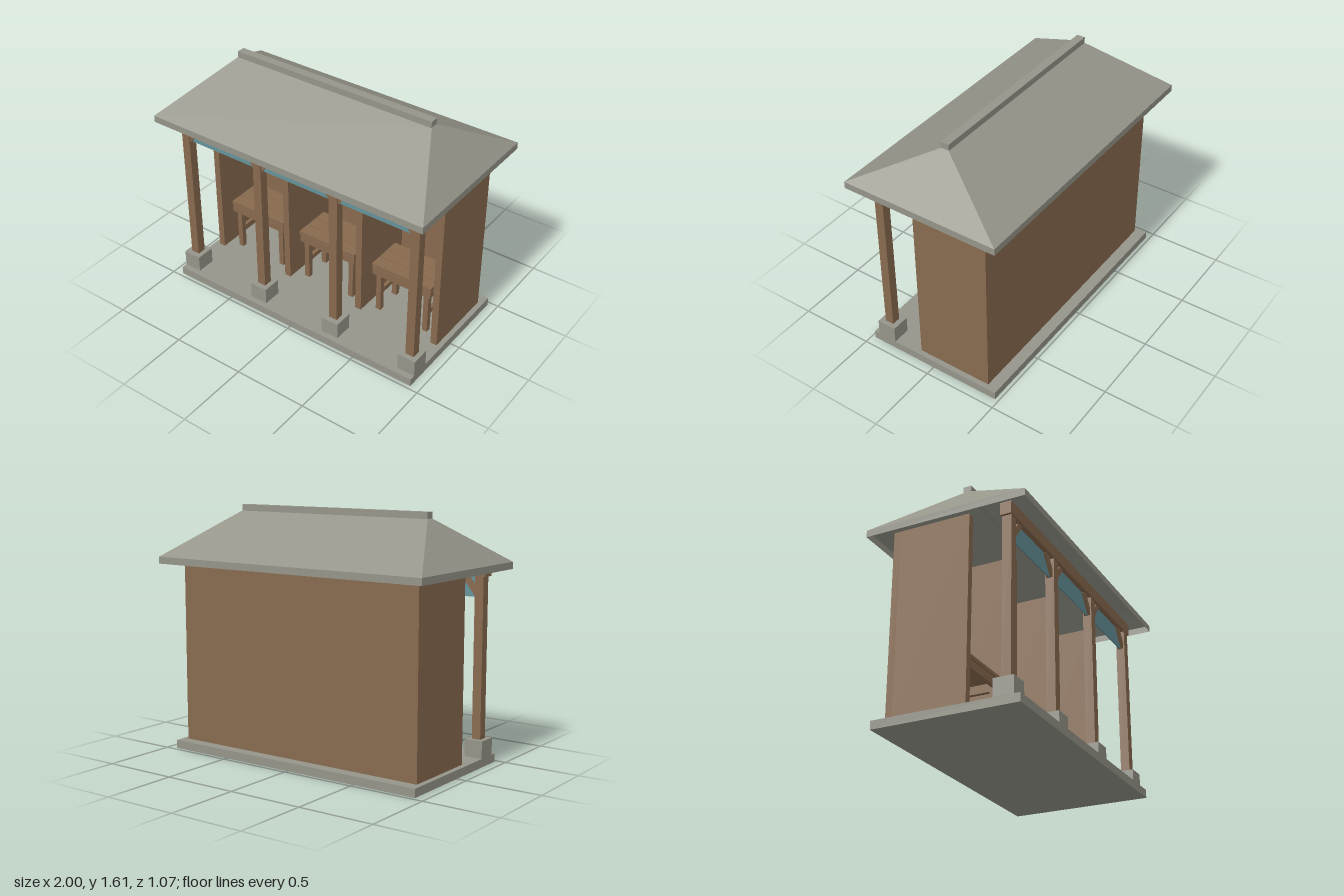
import * as THREE from 'three';

const mat = (name, color) => {
  const m = new THREE.MeshStandardMaterial({ color });
  m.name = name;
  return m;
};

export function createModel() {
  const model = new THREE.Group();
  model.name = 'shelter';
  const wood = mat('brown wood', 0x886a4e);
  const stone = mat('grey stone', 0x95958a);
  const roofStone = mat('grey roof', 0x95958a);
  roofStone.side = THREE.DoubleSide;
  const glass = mat('blue glass', 0x65929b);

  // Box given by its limits on each axis
  const box = (parent, name, material, [x0, x1], [y0, y1], [z0, z1]) => {
    const mesh = new THREE.Mesh(new THREE.BoxGeometry(x1 - x0, y1 - y0, z1 - z0), material);
    mesh.position.set((x0 + x1) / 2, (y0 + y1) / 2, (z0 + z1) / 2);
    mesh.name = name;
    parent.add(mesh);
    return mesh;
  };
  const around = (c, half) => [c - half, c + half];

  // Floor slab and back wall
  const floor = 0.055, eave = 1.28;
  box(model, 'floorSlab', stone, [-0.935, 0.935], [0, floor], [-0.475, 0.475]);
  box(model, 'backWall', wood, [-0.9, 0.9], [floor, eave], [-0.4, -0.355]);

  // Side walls and partitions
  for (const x of [-0.8775, -0.292, 0.292, 0.8775])
    box(model, 'partition', wood, around(x, 0.0225), [floor, eave], [-0.355, 0.12]);

  // Front posts on stone footings, carrying a beam
  const postX = [-0.873, -0.291, 0.291, 0.873];
  for (const x of postX) {
    box(model, 'footing', stone, around(x, 0.062), [floor, 0.167], [0.305, 0.435]);
    box(model, 'post', wood, around(x, 0.03), [0.167, 1.2], [0.34, 0.4]);
  }
  box(model, 'beam', wood, [-0.92, 0.92], [1.198, eave], [0.333, 0.407]);

  // Glass panel and two corner braces in each bay
  for (let i = 0; i < 3; i++) {
    const left = postX[i] + 0.03, right = postX[i + 1] - 0.03;
    box(model, 'glassPanel', glass, [left, right], [1.065, 1.198], around(0.37, 0.004));
    for (const [x, s] of [[left, 1], [right, -1]]) {
      const brace = box(model, 'brace', wood, around(x + s * 0.034, 0.078),
        around(1.141, 0.019), around(0.37, 0.02));
      brace.rotation.z = s * 0.92;
    }
  }

  // Tables: slatted top, apron, four legs and side stretchers
  for (const x of [-0.583, 0, 0.583]) {
    const table = new THREE.Group();
    table.name = 'table';
    table.position.set(x, 0, -0.065);
    for (const z of [-0.091, 0, 0.091])
      box(table, 'slat', wood, [-0.222, 0.222], [0.411, 0.434], around(z, 0.043));
    for (const s of [-1, 1]) {
      box(table, 'apron', wood, [-0.219, 0.219], [0.35, 0.405], around(s * 0.117, 0.013));
      box(table, 'sideApron', wood, around(s * 0.206, 0.013), [0.35, 0.405], [-0.104, 0.104]);
      box(table, 'stretcher', wood, around(s * 0.18, 0.012), [0.18, 0.215], [-0.09, 0.09]);
      for (const t of [-1, 1])
        box(table, 'leg', wood, around(s * 0.18, 0.018), [floor, 0.411], around(t * 0.095, 0.018));
    }
    model.add(table);
  }

  // Hollow hipped roof: rectangular rings joined by quads
  const rings = [[1, 1.235, 0.535], [1, eave, 0.535], [0.72, 1.565, 0.025]].map(([x, y, z]) =>
    [[-x, y, z], [x, y, z], [x, y, -z], [-x, y, -z]]);
  const points = [];
  for (let r = 0; r < 2; r++) {
    for (let i = 0; i < 4; i++) {
      const j = (i + 1) % 4;
      const a = rings[r][i], b = rings[r][j], c = rings[r + 1][j], d = rings[r + 1][i];
      points.push(...a, ...b, ...c, ...a, ...c, ...d);
    }
  }
  const roofGeometry = new THREE.BufferGeometry();
  roofGeometry.setAttribute('position', new THREE.Float32BufferAttribute(points, 3));
  roofGeometry.computeVertexNormals();
  const roof = new THREE.Mesh(roofGeometry, roofStone);
  roof.name = 'roof';
  model.add(roof);

  // Ridge cap
  box(model, 'ridgeCap', stone, [-0.72, 0.72], [1.56, 1.605], [-0.028, 0.028]);

  return model;
}
